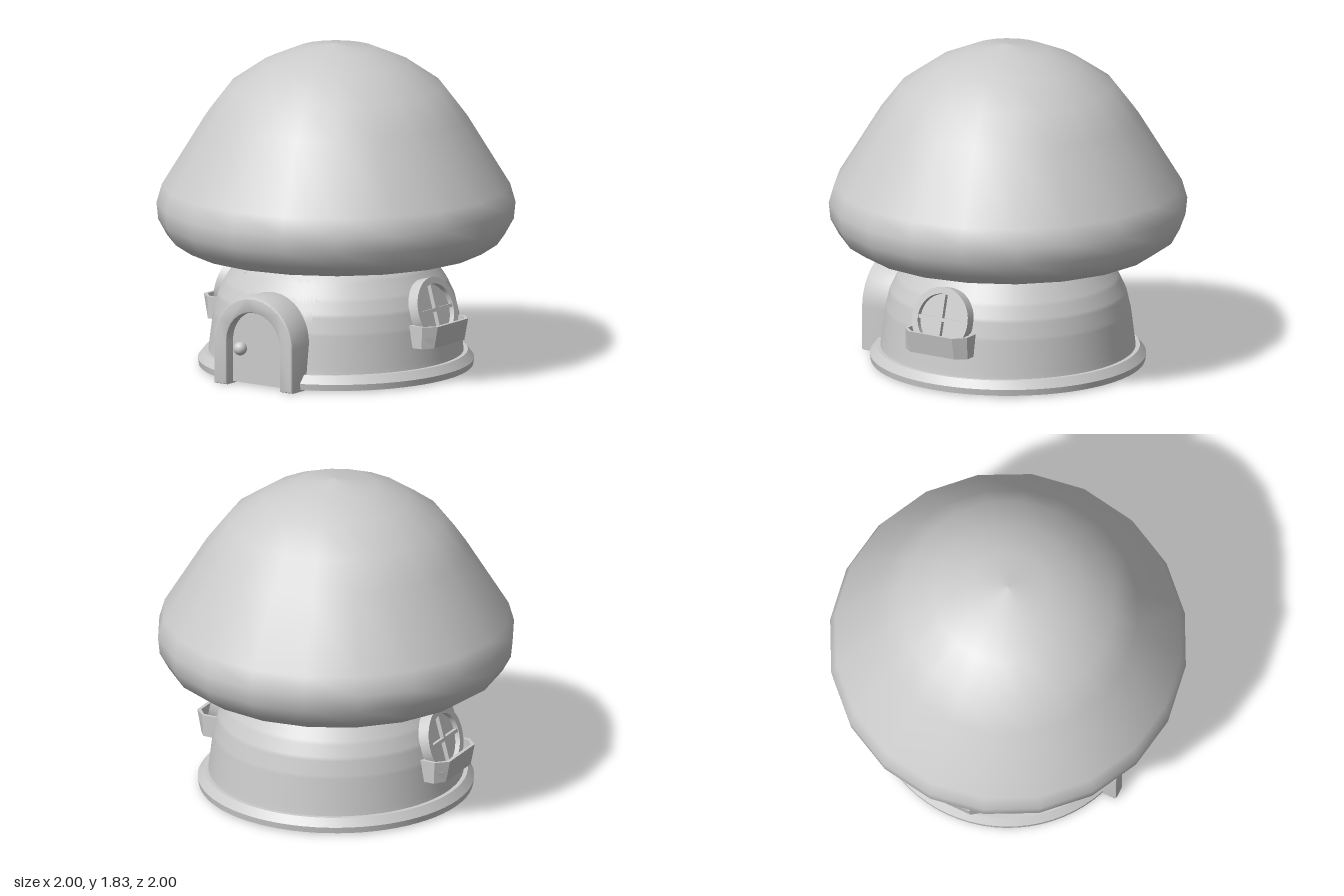
import * as THREE from 'three';
import { toCreasedNormals } from 'three/addons/utils/BufferGeometryUtils.js';
import { ParametricGeometry } from 'three/addons/geometries/ParametricGeometry.js';

const material = new THREE.MeshStandardMaterial({ color: 0xcccccc, side: THREE.DoubleSide });
const points = (list) => list.map(([x, y]) => new THREE.Vector2(x, y));

function addMesh(parent, name, geometry, x = 0, y = 0, z = 0) {
  const mesh = new THREE.Mesh(geometry, material);
  mesh.name = name;
  mesh.position.set(x, y, z);
  parent.add(mesh);
  return mesh;
}

function extrude(shape, depth, bevel = 0) {
  const geometry = new THREE.ExtrudeGeometry(shape, {
    depth: depth - 2 * bevel, curveSegments: 28, bevelEnabled: bevel > 0,
    bevelThickness: bevel, bevelSize: bevel, bevelOffset: -bevel, bevelSegments: 2,
  });
  geometry.translate(0, 0, bevel);
  return toCreasedNormals(geometry, 0.6);
}

// Doorway sizes
const DOOR_W = 0.268, DOOR_SPRING = 0.247, INNER_W = 0.18;
const archTop = (x) => DOOR_SPRING + Math.sqrt(Math.max(0, DOOR_W ** 2 - x * x));

function archShape(w) {
  const shape = new THREE.Shape();
  shape.moveTo(w, 0);
  shape.lineTo(w, DOOR_SPRING);
  shape.absarc(0, DOOR_SPRING, w, 0, Math.PI, false);
  shape.lineTo(-w, 0);
  return shape;
}

// Radius of the stem wall at a given height
const WALL = [[0.725, 0], [0.71, 0.1], [0.685, 0.3], [0.662, 0.4], [0.62, 0.49], [0.56, 0.58], [0.485, 0.66]];
const WALL_TOP = 0.66;
function wallRadius(y) {
  const i = Math.max(1, WALL.findIndex((p) => p[1] >= y - 1e-6));
  const [r0, y0] = WALL[i - 1], [r1, y1] = WALL[i];
  return r0 + (r1 - r0) * (y - y0) / (y1 - y0);
}

function addCap(group) {
  const profile = points([
    [0, 0.652], [0.45, 0.652], [0.7, 0.655], [0.85, 0.68], [0.94, 0.74], [0.99, 0.83], [1, 0.925],
    [0.97, 1.03], [0.73, 1.42], [0.6, 1.59], [0.41, 1.72], [0.22, 1.8], [0, 1.83],
  ]);
  addMesh(group, 'cap', new THREE.LatheGeometry(profile, 20));
}

function addStem(group) {
  // Wall around the house, stopping at both sides of the doorway
  addMesh(group, 'wall', new ParametricGeometry((u, v, p) => {
    const y = v * WALL_TOP, r = wallRadius(y), a = Math.asin(DOOR_W / r);
    const angle = a + u * (2 * Math.PI - 2 * a);
    p.set(r * Math.sin(angle), y, r * Math.cos(angle));
  }, 64, 33));
  // Wall over the door arch
  addMesh(group, 'wallOverDoor', new ParametricGeometry((u, v, p) => {
    const x = -DOOR_W * Math.cos(u * Math.PI);
    const y = THREE.MathUtils.lerp(archTop(x), WALL_TOP, v);
    p.set(x, y, Math.sqrt(wallRadius(y) ** 2 - x * x));
  }, 28, 12));
  // Foundation ring, open at the door
  const ring = points([[0.7, 0.09], [0.7, 0.01], [0.765, 0.01], [0.77, 0.045], [0.735, 0.09], [0.7, 0.09]]);
  const gap = Math.asin(DOOR_W / 0.77);
  const geometry = new THREE.LatheGeometry(ring, 64, gap, 2 * Math.PI - 2 * gap);
  addMesh(group, 'foundationRing', toCreasedNormals(geometry, 0.5));
}

function addDoor(group) {
  const frame = archShape(DOOR_W);
  frame.lineTo(-INNER_W, 0);
  frame.lineTo(-INNER_W, DOOR_SPRING);
  frame.absarc(0, DOOR_SPRING, INNER_W, Math.PI, 0, true);
  frame.lineTo(INNER_W, 0);
  addMesh(group, 'doorFrame', extrude(frame, 0.24, 0.012), 0, 0, 0.56);
  addMesh(group, 'door', extrude(archShape(INNER_W + 0.005), 0.17), 0, 0.01, 0.565);
  addMesh(group, 'doorKnob', new THREE.SphereGeometry(0.038, 20, 14), -0.105, 0.21, 0.772);
  const stem = addMesh(group, 'doorKnobStem', new THREE.CylinderGeometry(0.018, 0.018, 0.05, 14), -0.105, 0.21, 0.745);
  stem.rotation.x = Math.PI / 2;
}

// Window and planter, facing +z; the caller turns it to a side
function buildWindow(side) {
  const unit = new THREE.Group();
  unit.name = side + 'Window';

  const pane = new THREE.Group();
  pane.name = 'roundWindow';
  pane.position.set(0, 0.4, 0.697);
  pane.rotation.x = -0.27;
  unit.add(pane);
  const rim = new THREE.Shape().absarc(0, 0, 0.183, 0, Math.PI * 2, false);
  rim.holes.push(new THREE.Path().absarc(0, 0, 0.145, 0, Math.PI * 2, true));
  addMesh(pane, 'windowFrame', extrude(rim, 0.085), 0, 0, -0.085);
  addMesh(pane, 'glass', new THREE.CircleGeometry(0.15, 40), 0, 0, -0.03);
  addMesh(pane, 'verticalBar', new THREE.BoxGeometry(0.02, 0.292, 0.025), 0, 0, -0.018);
  addMesh(pane, 'horizontalBar', new THREE.BoxGeometry(0.292, 0.02, 0.025), 0, 0, -0.018);

  // Planter: hollow tray with cut front corners, narrower at its foot
  const outline = (inset) => points([
    [-0.205 + inset, -0.645 - inset], [-0.205 + inset, -0.735], [-0.145 + inset * 0.5, -0.8 + inset],
    [0.145 - inset * 0.5, -0.8 + inset], [0.205 - inset, -0.735], [0.205 - inset, -0.645 - inset],
  ]);
  const taper = (geometry) => {
    const p = geometry.attributes.position;
    for (let i = 0; i < p.count; i++) {
      const foot = 1 - p.getY(i) / 0.125;
      p.setZ(i, 0.72 + (p.getZ(i) - 0.72) * (1 - 0.32 * foot));
    }
    return toCreasedNormals(geometry, 0.3);
  };
  const tray = new THREE.Shape(outline(0));
  tray.holes.push(new THREE.Path(outline(0.02)));
  const walls = extrude(tray, 0.125).rotateX(-Math.PI / 2);
  addMesh(unit, 'planterWalls', taper(walls), 0, 0.21, 0);
  const floor = extrude(new THREE.Shape(outline(0.001)), 0.06).rotateX(-Math.PI / 2);
  addMesh(unit, 'planterFloor', taper(floor), 0, 0.21, 0);
  return unit;
}

export function createModel() {
  const group = new THREE.Group();
  group.name = 'mushroomHouse';
  addCap(group);
  addStem(group);
  addDoor(group);
  for (const [side, turn] of [['left', 1], ['right', -1]]) {
    const unit = buildWindow(side);
    unit.rotation.y = turn * Math.PI / 2;
    group.add(unit);
  }
  return group;
}
